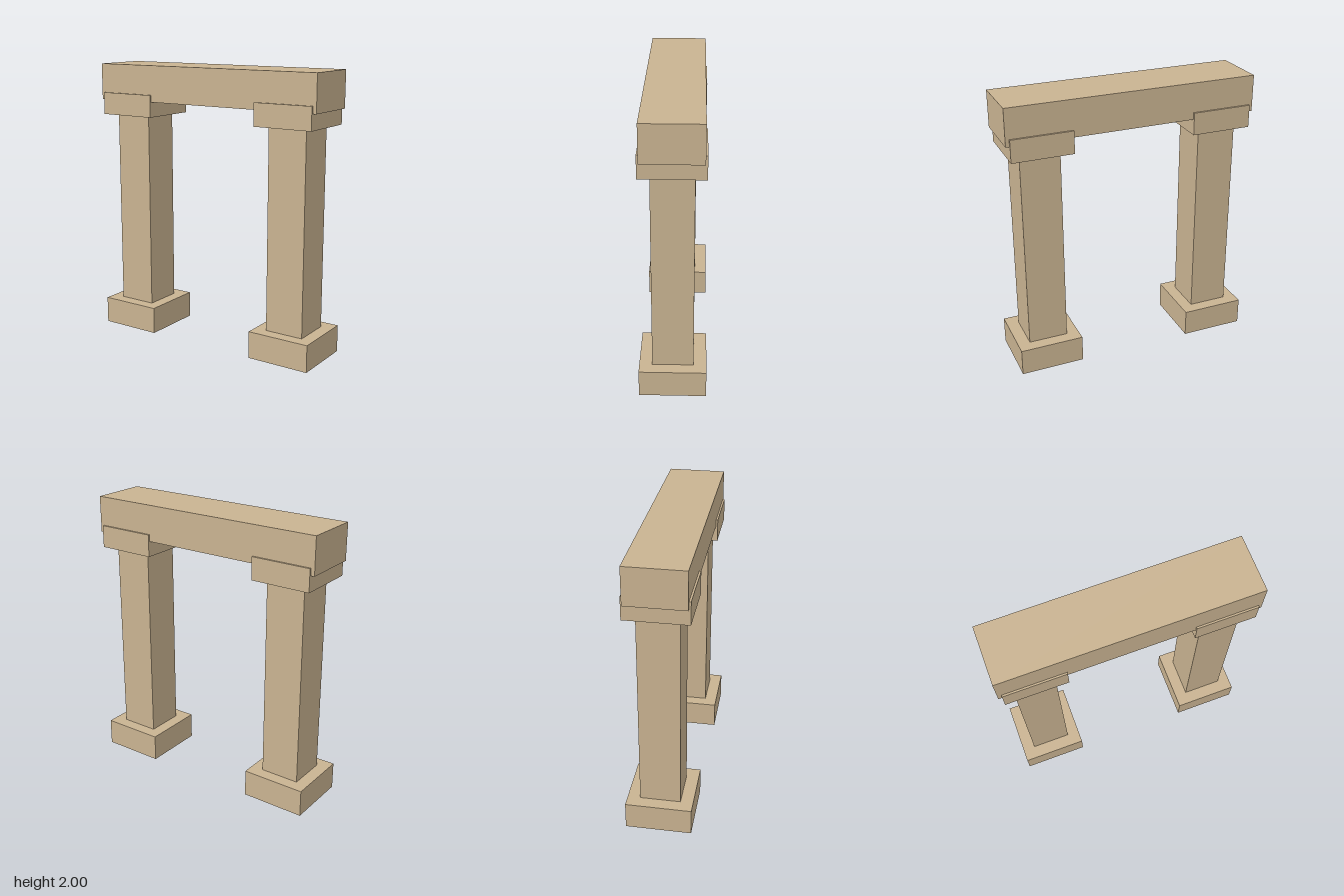
import * as THREE from 'three';

export function createModel() {
  const group = new THREE.Group();
  const stone = new THREE.MeshStandardMaterial({ color: 0xc9b391 });
  stone.name = 'sandstone';

  // Box spanning bottom..top in height
  function block(name, parent, width, depth, bottom, top) {
    const mesh = new THREE.Mesh(new THREE.BoxGeometry(width, top - bottom, depth), stone);
    mesh.name = name;
    mesh.position.y = (bottom + top) / 2;
    parent.add(mesh);
  }

  // Two square pillars, each with base, shaft and capital
  for (const side of [-1, 1]) {
    const pillar = new THREE.Group();
    pillar.name = side > 0 ? 'leftPillar' : 'rightPillar';
    pillar.position.x = side * 0.651;
    block('base', pillar, 0.46, 0.46, 0, 0.195);
    block('shaft', pillar, 0.283, 0.283, 0.195, 1.63);
    block('capital', pillar, 0.432, 0.432, 1.63, 1.79);
    group.add(pillar);
  }

  // Lintel, set slightly into the capitals
  block('lintel', group, 1.786, 0.406, 1.74, 2);

  return group;
}
